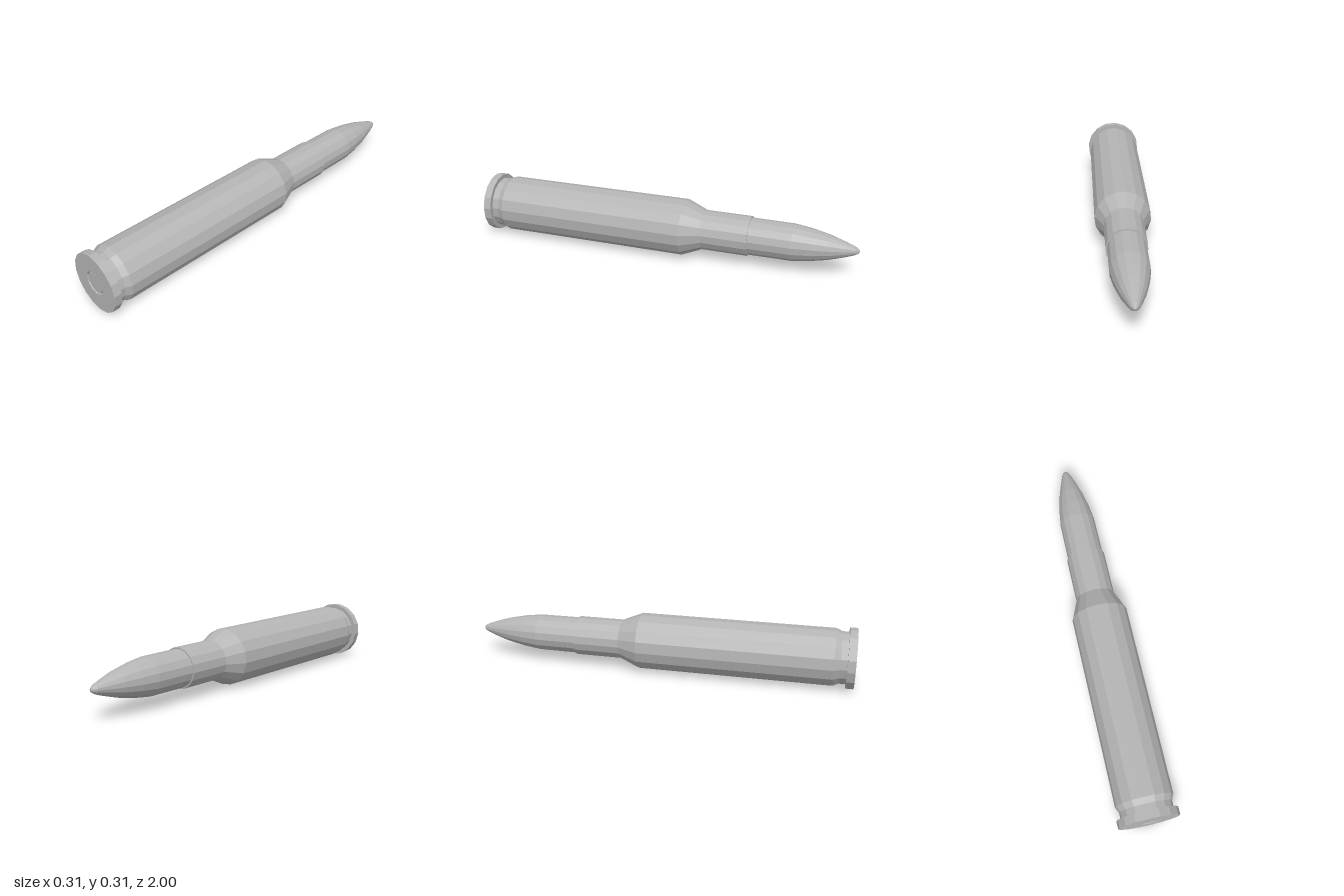
import * as THREE from 'three';

const SIDES = 16, POCKET_SIDES = 10, TURN = -0.096;
const AXIS_Y = 0.155, RIM = 0.155, POCKET = 0.062;

export function createModel() {
  const group = new THREE.Group();
  const metal = new THREE.MeshStandardMaterial({ color: 0xb4b4b4, flatShading: true });
  metal.name = 'greyMetal';

  const add = (name, geometry) => {
    const mesh = new THREE.Mesh(geometry, metal);
    mesh.name = name;
    mesh.position.y = AXIS_Y;
    group.add(mesh);
  };

  // Profile of [radius, z] pairs running from the base (+z) to the tip (-z)
  const turned = (name, profile, sides = SIDES) => {
    const points = profile.map(([r, z]) => new THREE.Vector2(r, -z));
    add(name, new THREE.LatheGeometry(points, sides, TURN).rotateX(-Math.PI / 2));
  };

  const ring = (radius, sides) => Array.from({ length: sides }, (_, i) => {
    const a = TURN + (i / sides) * Math.PI * 2;
    return new THREE.Vector2(radius * Math.sin(a), radius * Math.cos(a));
  });

  // Flat head with a round pocket
  const head = new THREE.Shape(ring(RIM, SIDES));
  head.holes.push(new THREE.Path(ring(POCKET, POCKET_SIDES)));
  add('headFace', new THREE.ShapeGeometry(head).translate(0, 0, 1));

  // Primer cap and the groove around it
  turned('primer', [[0, 0.997], [0.054, 0.997], [0.057, 0.98], [POCKET, 1]], POCKET_SIDES);

  // Rim and extraction groove
  turned('rim', [[RIM, 1], [RIM, 0.96], [0.133, 0.96], [0.133, 0.925], [0.147, 0.895]]);

  // Body, shoulder, neck and mouth
  turned('case', [[0.147, 0.895], [0.147, -0.105], [0.103, -0.21], [0.103, -0.45], [0.094, -0.45]]);

  // Tapered tip
  turned('tip', [
    [0.096, -0.44], [0.095, -0.67], [0.083, -0.76], [0.064, -0.85],
    [0.039, -0.93], [0.023, -0.975], [0.012, -0.993], [0, -1],
  ]);

  return group;
}
